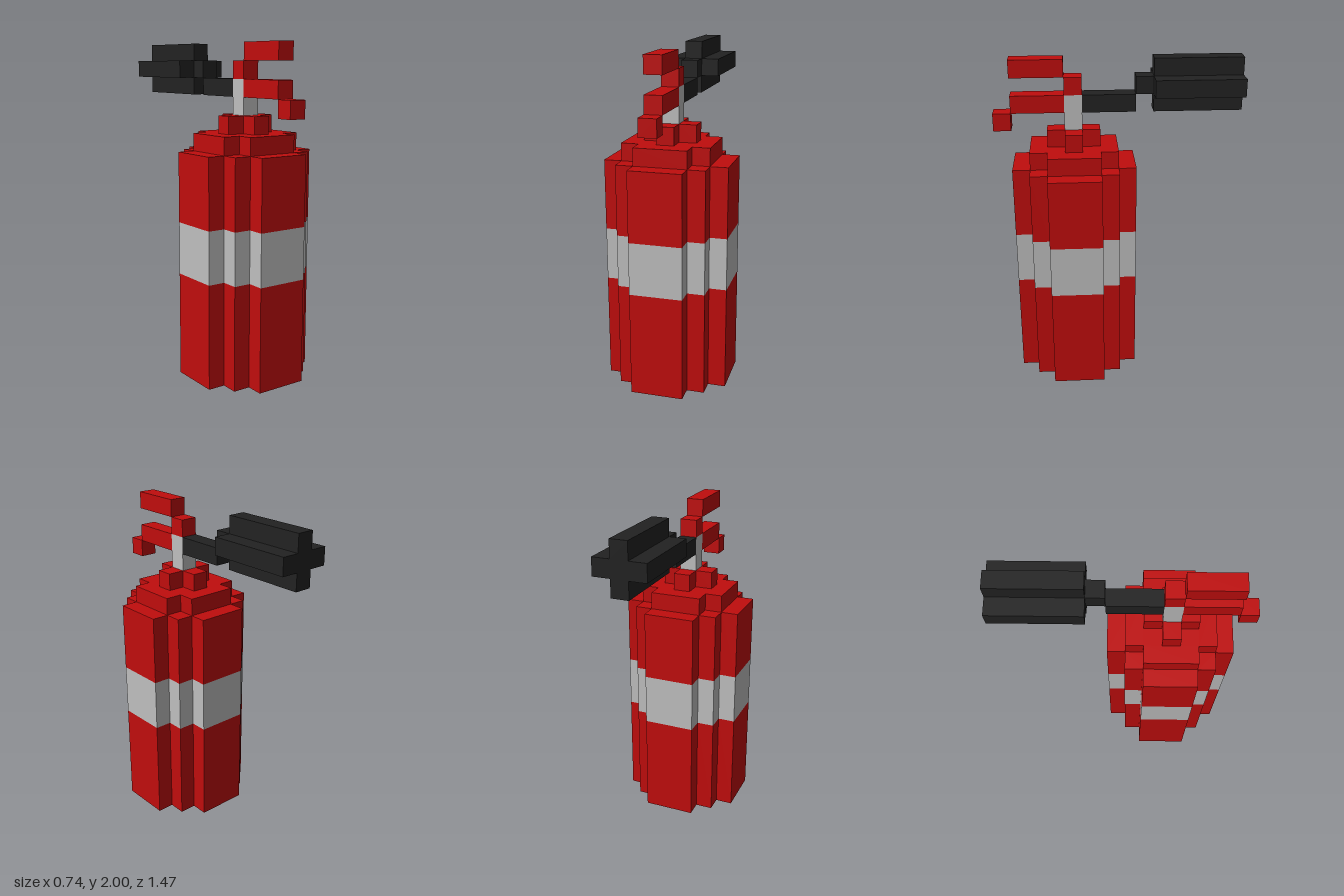
import * as THREE from 'three';

const U = 2 / 19; // edge of one grid cell

const paint = (name, color) => {
  const m = new THREE.MeshStandardMaterial({ color });
  m.name = name;
  return m;
};

// Staircase outline with fourfold symmetry: widest half-width a, flat-side half-length b
function steppedShape(a, b) {
  const quarter = [[a, b]];
  for (let i = 1; i <= a - b; i++) quarter.push([a - i, b + i - 1], [a - i, b + i]);
  const points = [];
  for (let q = 0; q < 4; q++) {
    for (const [x, y] of quarter) {
      const [px, py] = [[x, y], [-y, x], [-x, -y], [y, -x]][q];
      points.push(new THREE.Vector2(px * U, py * U));
    }
  }
  return new THREE.Shape(points);
}

const steppedPrism = (a, b, length) =>
  new THREE.ExtrudeGeometry(steppedShape(a, b), { depth: length * U, bevelEnabled: false });

export function createModel() {
  const model = new THREE.Group();
  model.name = 'fireExtinguisher';
  const red = paint('red', 0xc00d0d);
  const silver = paint('silver', 0xbfbfbf);
  const black = paint('black', 0x222222);

  const add = (name, geometry, material) => {
    const mesh = new THREE.Mesh(geometry, material);
    mesh.name = name;
    model.add(mesh);
  };

  // Upright layer of the tank, from y0 to y1 in cells
  const layer = (name, material, a, b, y0, y1) =>
    add(name, steppedPrism(a, b, y1 - y0).rotateX(-Math.PI / 2).translate(0, y0 * U, 2.5 * U), material);

  // One-cell-wide bar on the centre line
  const bar = (name, material, y0, y1, z0, z1) =>
    add(name, new THREE.BoxGeometry(U, (y1 - y0) * U, (z1 - z0) * U)
      .translate(0, (y0 + y1) / 2 * U, (z0 + z1) / 2 * U), material);

  // Tank with label band
  layer('tankLower', red, 3.5, 1.5, 0, 6);
  layer('labelBand', silver, 3.5, 1.5, 6, 9);
  layer('tankUpper', red, 3.5, 1.5, 9, 13);
  layer('shoulder', red, 2.5, 1.5, 13, 14);
  layer('neck', red, 1.5, 0.5, 14, 15);

  // Valve and squeeze handles
  bar('valveStem', silver, 15, 17, 2, 3);
  bar('lowerHandle', red, 16, 17, 3, 6);
  bar('lowerHandleTip', red, 15, 16, 6, 7);
  bar('leverPivot', red, 17, 18, 2, 3);
  bar('upperLever', red, 18, 19, 3, 6);

  // Hose and discharge horn
  bar('hose', black, 16, 17, -1, 2);
  bar('hoseElbow', black, 17, 18, -2, -1);
  add('horn', steppedPrism(1.5, 0.5, 5).translate(0, 17.5 * U, -7 * U), black);

  return model;
}
